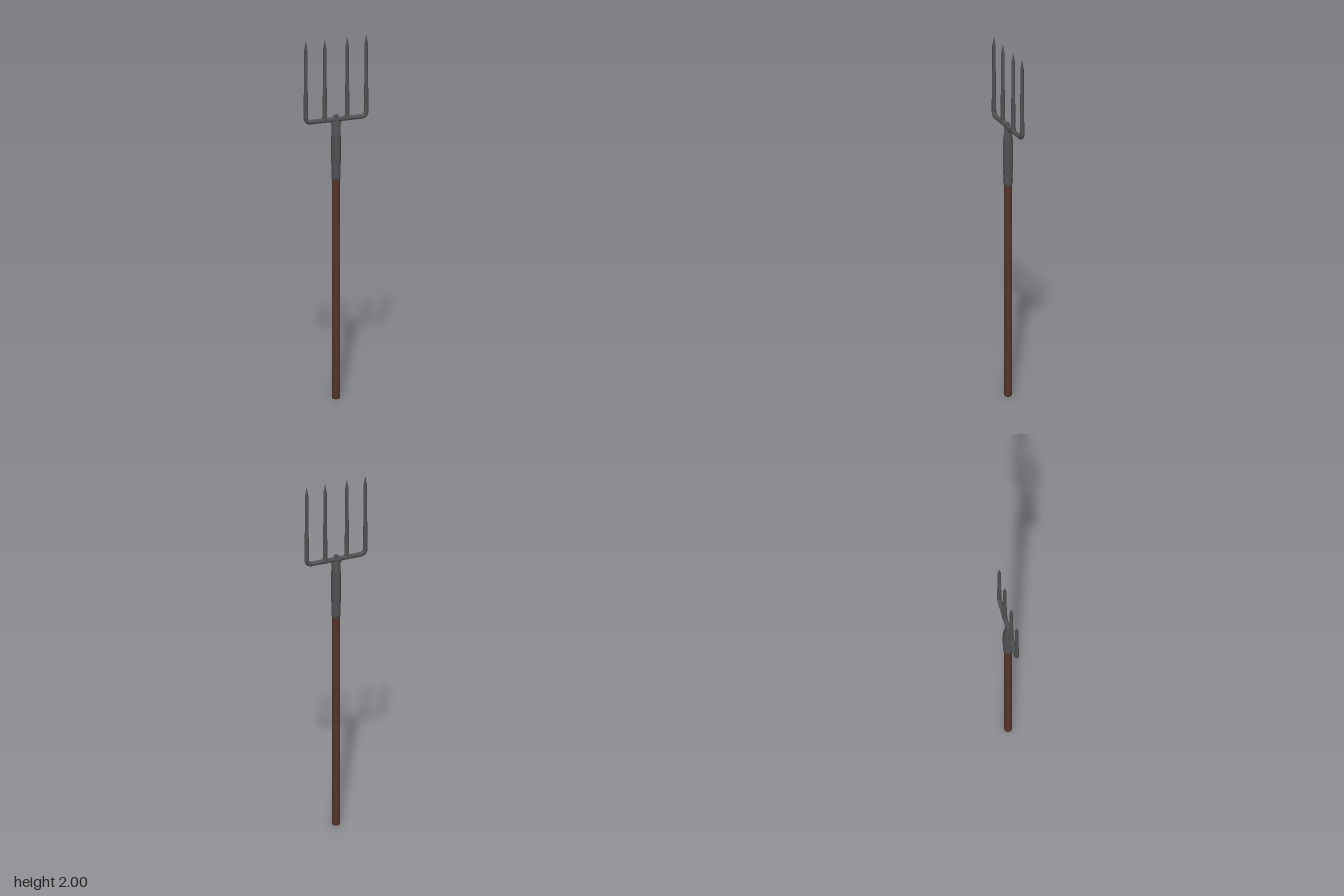
import * as THREE from 'three';

const metal = new THREE.MeshStandardMaterial({ color: 0x505152 });
metal.name = 'dark iron';
const wood = new THREE.MeshStandardMaterial({ color: 0x54342a });
wood.name = 'brown wood';

const TIP = 2, BAR = 1.55, OUTER = 0.17, INNER = 0.063, BEND = 0.03;

// Tine thickness by height: stout at the bar, slim above, pointed at the tip
function tineRadius(y) {
  if (y > 1.95) return THREE.MathUtils.lerp(0.009, 0.0008, (y - 1.95) / (TIP - 1.95));
  return THREE.MathUtils.lerp(0.0125, 0.009, THREE.MathUtils.clamp((y - 1.56) / 0.3, 0, 1));
}

function add(group, name, geometry, material) {
  const mesh = new THREE.Mesh(geometry, material);
  mesh.name = name;
  group.add(mesh);
  return mesh;
}

// Crossbar and outer tines: one bent rod, thinned towards both points
function bentRod() {
  const v = (x, y) => new THREE.Vector3(x, y, 0);
  const path = new THREE.CurvePath();
  path.add(new THREE.LineCurve3(v(-OUTER, TIP), v(-OUTER, BAR + BEND)));
  path.add(new THREE.QuadraticBezierCurve3(v(-OUTER, BAR + BEND), v(-OUTER, BAR), v(-OUTER + BEND, BAR)));
  path.add(new THREE.LineCurve3(v(-OUTER + BEND, BAR), v(OUTER - BEND, BAR)));
  path.add(new THREE.QuadraticBezierCurve3(v(OUTER - BEND, BAR), v(OUTER, BAR), v(OUTER, BAR + BEND)));
  path.add(new THREE.LineCurve3(v(OUTER, BAR + BEND), v(OUTER, TIP)));
  const rings = 160, sides = 12;
  const geo = new THREE.TubeGeometry(path, rings, 1, sides, false);
  const pos = geo.attributes.position, p = new THREE.Vector3();
  for (let i = 0; i <= rings; i++) {
    const c = path.getPointAt(i / rings), r = tineRadius(c.y);
    for (let j = 0; j <= sides; j++) {
      const k = i * (sides + 1) + j;
      p.fromBufferAttribute(pos, k).sub(c).multiplyScalar(r).add(c);
      pos.setXYZ(k, p.x, p.y, p.z);
    }
  }
  return geo;
}

// Socket: elliptical rings of [height, half width, half depth]
function socketGeometry() {
  const rows = [
    [1.575, 0.012, 0.009], [1.558, 0.017, 0.011], [1.54, 0.021, 0.013], [1.525, 0.024, 0.017],
    [1.48, 0.025, 0.026], [1.44, 0.025, 0.028], [1.31, 0.025, 0.028], [1.285, 0.024, 0.027],
    [1.265, 0.024, 0.024], [1.25, 0.024, 0.027], [1.235, 0.024, 0.027], [1.222, 0.024, 0.024],
  ];
  const sides = 24;
  const geo = new THREE.CylinderGeometry(1, 1, 1, sides, rows.length - 1);
  const pos = geo.attributes.position;
  for (let i = 0; i < pos.count; i++) {
    const [y, w, d] = rows[Math.round((0.5 - pos.getY(i)) * (rows.length - 1))];
    pos.setXYZ(i, pos.getX(i) * w, y, pos.getZ(i) * d);
  }
  geo.computeVertexNormals();
  return geo;
}

export function createModel() {
  const group = new THREE.Group();
  group.name = 'pitchfork';

  // Wooden pole with a softened butt end
  const pole = [[0, 0], [0.016, 0], [0.02, 0.004], [0.021, 0.01], [0.021, 1.25], [0, 1.25]];
  add(group, 'handle', new THREE.LatheGeometry(pole.map(([r, y]) => new THREE.Vector2(r, y)), 24), wood);

  add(group, 'socket', socketGeometry(), metal);
  add(group, 'crossbarAndOuterTines', bentRod(), metal);

  // Inner tines flare slightly where they meet the bar
  const profile = [new THREE.Vector2(0.016, BAR + 0.006), new THREE.Vector2(0.0125, BAR + 0.02)];
  for (const y of [1.62, 1.74, 1.86, 1.949, 1.975, TIP]) profile.push(new THREE.Vector2(tineRadius(y), y));
  profile.push(new THREE.Vector2(0, TIP));
  for (const side of [-1, 1]) {
    add(group, side > 0 ? 'leftInnerTine' : 'rightInnerTine', new THREE.LatheGeometry(profile, 12), metal)
      .position.x = side * INNER;

    // Gusset blending the socket into the bar
    const s = new THREE.Shape();
    s.moveTo(0, 1.515);
    s.lineTo(0.022, 1.515);
    s.quadraticCurveTo(0.023, 1.538, 0.045, 1.545);
    s.lineTo(0, 1.55);
    const gusset = new THREE.ExtrudeGeometry(s, { depth: 0.016, bevelEnabled: false, curveSegments: 6 });
    gusset.translate(0, 0, -0.008);
    if (side < 0) gusset.rotateY(Math.PI);
    add(group, side > 0 ? 'leftGusset' : 'rightGusset', gusset, metal);

    // Rivet heads on the socket, front and back
    const rivet = add(group, side > 0 ? 'frontRivet' : 'backRivet', new THREE.SphereGeometry(0.006, 12, 8), metal);
    rivet.position.set(0, 1.265, side * 0.023);
    rivet.scale.z = 0.6;
  }
  return group;
}
